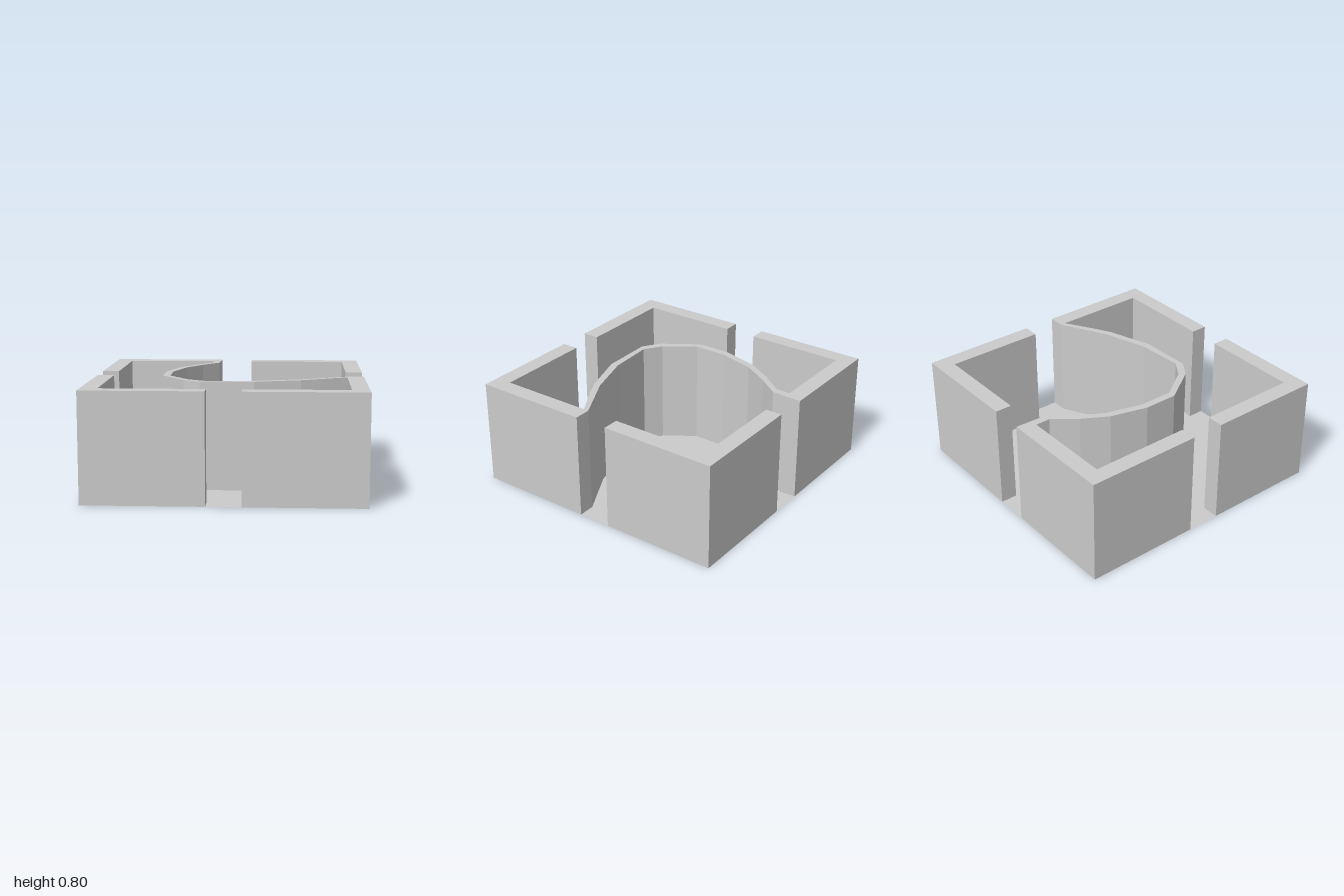
import * as THREE from 'three';

const H = 0.8;      // wall height
const I = 0.875;    // inner face of the outer walls
const G = 0.125;    // half width of each doorway

const material = new THREE.MeshStandardMaterial({
  color: 0xcccccc, side: THREE.DoubleSide, flatShading: true,
});

// Plan outlines are [x, z] pairs; shapes are drawn in x, -z and laid flat.
const planShape = (points) => new THREE.Shape(points.map(([x, z]) => new THREE.Vector2(x, -z)));

function addMesh(group, geometry, name) {
  const mesh = new THREE.Mesh(geometry.rotateX(-Math.PI / 2), material);
  mesh.name = name;
  group.add(mesh);
}

// Hollow wall: top and sides only, open underneath
function wallGeometry(points) {
  const geometry = new THREE.ExtrudeGeometry(planShape(points), { depth: H, bevelEnabled: false });
  const skip = geometry.groups[0].count / 2; // bottom cap comes first
  const open = new THREE.BufferGeometry();
  for (const key of ['position', 'normal']) {
    const array = geometry.attributes[key].array.slice(skip * 3);
    open.setAttribute(key, new THREE.BufferAttribute(array, 3));
  }
  return open;
}

// L-shaped corner; sx and sz choose the quadrant
const cornerOutline = (sx, sz) => [
  [G, 1], [1, 1], [1, G], [I, G], [I, I], [G, I],
].map(([x, z]) => [x * sx, z * sz]);

export function createModel() {
  const model = new THREE.Group();
  model.name = 'roomTile';

  // Two faces of the thin curved wall, from the back doorway to the left one
  const curveInner = [
    [-0.13, -0.875], [-0.135, -0.77], [-0.26, -0.6], [-0.375, -0.405], [-0.45, -0.13],
    [-0.45, 0.125], [-0.295, 0.35], [-0.165, 0.435], [0.18, 0.415], [0.52, 0.31],
  ];
  const curveOuter = [
    [-0.19, -I], [-0.19, -0.765], [-0.32, -0.595], [-0.43, -0.405], [-0.505, -0.13],
    [-0.505, 0.125], [-0.325, 0.395], [-0.2, 0.477], [0.19, 0.47], [0.53, 0.36], [0.67, 0.285],
  ];

  // Curved wall in one piece with the two corners it joins
  addMesh(model, wallGeometry([
    [-1, -G], [-1, -1], [-G, -1],
    ...curveInner,
    [I, G], [1, G], [1, 1], [G, 1], [G, I], [I, I], [I, 0.165],
    ...curveOuter.reverse(),
    [-I, -I], [-I, -G],
  ]), 'curvedWallWithCorners');

  // Free-standing corners
  addMesh(model, wallGeometry(cornerOutline(1, -1)), 'backLeftCorner');
  addMesh(model, wallGeometry(cornerOutline(-1, 1)), 'frontRightCorner');

  // Floor sheet, reaching the edge through the four doorways
  const floor = [];
  for (let i = 0; i < 4; i++) {
    const c = Math.round(Math.cos(i * Math.PI / 2));
    const s = Math.round(Math.sin(i * Math.PI / 2));
    for (const [x, z] of [[I, -I], [I, -G], [1, -G], [1, G], [I, G]]) {
      floor.push([x * c - z * s, x * s + z * c]);
    }
  }
  addMesh(model, new THREE.ShapeGeometry(planShape(floor)), 'floor');

  return model;
}
